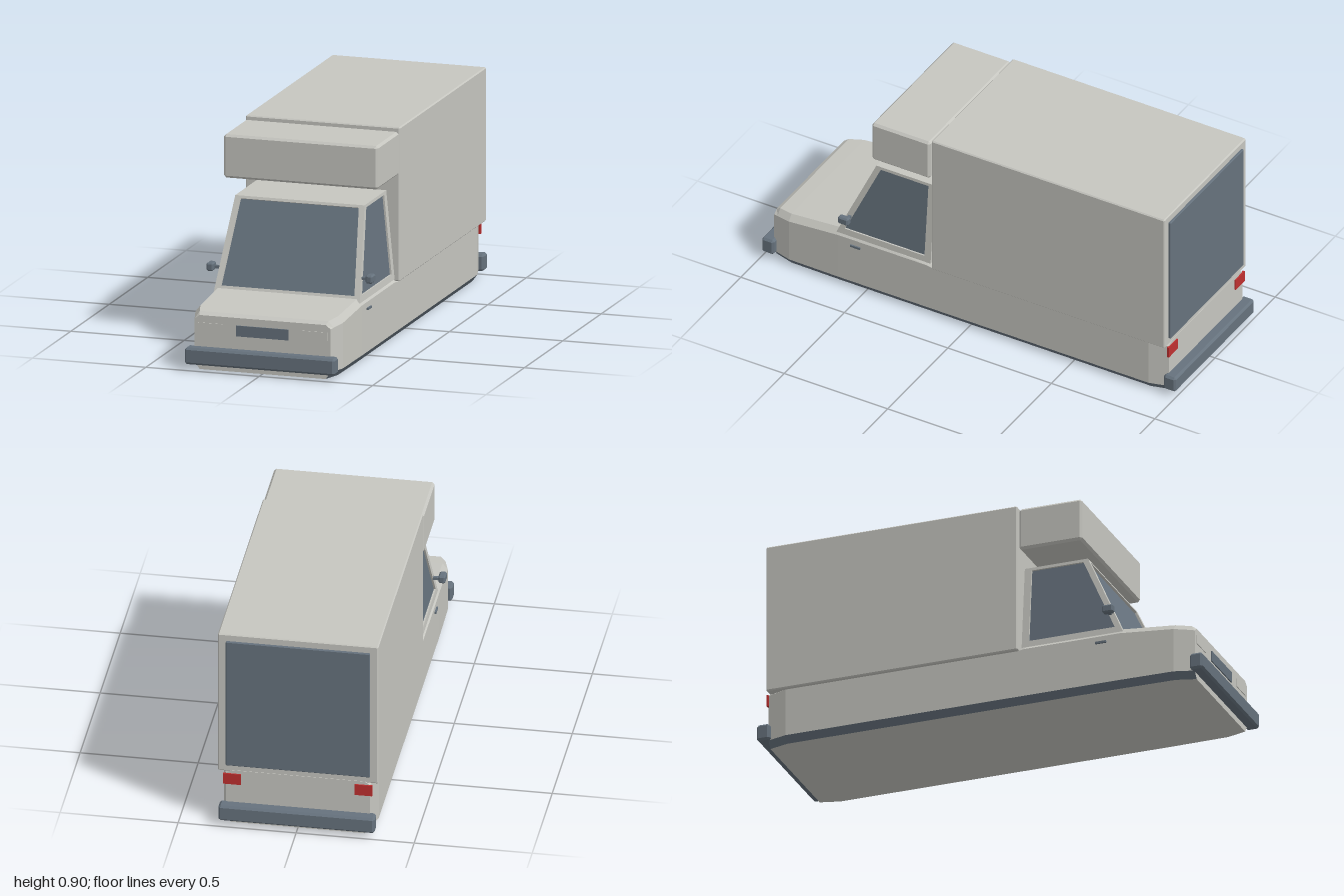
import * as THREE from 'three';
import { ConvexGeometry } from 'three/addons/geometries/ConvexGeometry.js';

const mat = (name, color) => {
  const m = new THREE.MeshStandardMaterial({ color });
  m.name = name;
  return m;
};

// Flat-faced geometry from a list of quads or polygons, each counter-clockwise from outside
function facesGeometry(faces) {
  const pos = [];
  for (const f of faces)
    for (let i = 1; i < f.length - 1; i++) pos.push(...f[0], ...f[i], ...f[i + 1]);
  const g = new THREE.BufferGeometry();
  g.setAttribute('position', new THREE.Float32BufferAttribute(pos, 3));
  g.computeVertexNormals();
  return g;
}

// Box between two corners with chamfered edges
function chamferBox([x0, y0, z0], [x1, y1, z1], c) {
  const pts = [];
  for (const sx of [0, 1]) for (const sy of [0, 1]) for (const sz of [0, 1]) {
    const p = [sx ? x1 : x0, sy ? y1 : y0, sz ? z1 : z0];
    const q = [sx ? x1 - c : x0 + c, sy ? y1 - c : y0 + c, sz ? z1 - c : z0 + c];
    pts.push(new THREE.Vector3(p[0], q[1], q[2]), new THREE.Vector3(q[0], p[1], q[2]),
      new THREE.Vector3(q[0], q[1], p[2]));
  }
  return new ConvexGeometry(pts);
}

export function createModel() {
  const group = new THREE.Group();
  group.name = 'boxTruck';
  const paint = mat('lightGreyPaint', 0xc6c6c0);
  const slate = mat('slate', 0x66727d);
  const red = mat('redLight', 0xbe3030);

  const add = (name, geo, material) => {
    const m = new THREE.Mesh(geo, material);
    m.name = name;
    group.add(m);
  };
  const box = (name, a, b, material, c) => add(name, chamferBox(a, b, c), material);
  const plate = (name, [x, y, z], [w, h, d], material) =>
    add(name, new THREE.BoxGeometry(w, h, d).translate(x, y, z), material);

  // Lower body: [z, half width, shoulder height, top height], back to front
  const sections = [
    [-0.955, 0.305, 0.235, 0.25], [-0.87, 0.328, 0.24, 0.25], [0.17, 0.328, 0.24, 0.25],
    [0.2, 0.328, 0.245, 0.262], [0.63, 0.328, 0.245, 0.272], [0.87, 0.325, 0.225, 0.252],
    [0.935, 0.306, 0.218, 0.245], [0.955, 0.3, 0.215, 0.232],
  ].map(([z, w, s, t]) => {
    const half = [[w - 0.022, 0], [w, 0.03], [w, s], [w - 0.022, t]];
    const other = half.map(([x, y]) => [-x, y]).reverse();
    return [...half, ...other].map(([x, y]) => [x, y, z]);
  });
  const shell = [], skirt = [];
  for (let k = 0; k < sections.length - 1; k++) {
    const A = sections[k], B = sections[k + 1];
    for (let i = 0; i < 8; i++) {
      const j = (i + 1) % 8;
      (i === 0 || i === 6 ? skirt : shell).push([A[i], A[j], B[j], B[i]]);
    }
  }
  shell.push(sections[sections.length - 1], [...sections[0]].reverse());
  add('lowerBody', facesGeometry(shell), paint);
  add('sillSkirt', facesGeometry(skirt), slate);

  // Cab: tapered frame with recessed windows
  const y0 = 0.255, y1 = 0.635, zBack = 0.187;
  const sideX = y => 0.322 - 0.037 * (y - y0) / (y1 - y0);
  const frontZ = y => 0.642 - 0.172 * (y - y0) / (y1 - y0);
  const frame = [], glass = [];
  function windowFace(outer, inner, depth) {
    const [a, b, c] = inner.map(p => new THREE.Vector3(...p));
    const n = b.clone().sub(a).cross(c.sub(a)).normalize().multiplyScalar(-depth);
    const pane = inner.map(p => [p[0] + n.x, p[1] + n.y, p[2] + n.z]);
    for (let i = 0; i < 4; i++) {
      const j = (i + 1) % 4;
      frame.push([outer[i], outer[j], inner[j], inner[i]]);
      frame.push([inner[i], inner[j], pane[j], pane[i]]);
    }
    glass.push(pane);
  }
  const frontPt = (s, y, inset) => [s * (sideX(y) - inset), y, frontZ(y)];
  const frontQuad = (a, b, inset) =>
    [frontPt(-1, a, inset), frontPt(1, a, inset), frontPt(1, b, inset), frontPt(-1, b, inset)];
  windowFace(frontQuad(y0, y1, 0), frontQuad(0.283, 0.624, 0.025), 0.01);

  const sideQuad = (s, a, b, zr, inset) => {
    const q = [[a, frontZ(a) - inset], [a, zr], [b, zr], [b, frontZ(b) - inset]]
      .map(([y, z]) => [s * sideX(y), y, z]);
    return s > 0 ? q : q.reverse();
  };
  for (const s of [1, -1])
    windowFace(sideQuad(s, y0, y1, zBack, 0), sideQuad(s, 0.283, 0.622, 0.218, 0.026), 0.008);

  const xb = sideX(y0), xt = sideX(y1), zt = frontZ(y1);
  frame.push([[-xt, y1, zt], [xt, y1, zt], [xt, y1, zBack], [-xt, y1, zBack]]);
  frame.push([[xb, y0, zBack], [-xb, y0, zBack], [-xt, y1, zBack], [xt, y1, zBack]]);
  add('cabFrame', facesGeometry(frame), paint);
  add('cabWindows', facesGeometry(glass), slate);

  // Cargo box, rear door and roof pod
  box('cargoBox', [-0.34, 0.243, -0.953], [0.34, 0.905, 0.173], paint, 0.005);
  box('rearDoor', [-0.305, 0.275, -0.963], [0.305, 0.873, -0.95], slate, 0.003);
  box('roofPod', [-0.34, 0.703, 0.181], [0.34, 0.89, 0.463], paint, 0.01);

  // Bumpers
  box('frontBumper', [-0.331, 0.026, 0.942], [0.331, 0.098, 1], slate, 0.009);
  box('rearBumper', [-0.331, 0.026, -1], [0.331, 0.098, -0.942], slate, 0.009);

  // Grille, lamps, mirrors and door handles
  plate('grille', [0, 0.177, 0.956], [0.23, 0.046, 0.008], slate);
  for (const s of [1, -1]) {
    plate('headlight', [s * 0.231, 0.182, 0.955], [0.108, 0.037, 0.006], paint);
    plate('tailLight', [s * 0.278, 0.21, -0.956], [0.075, 0.05, 0.009], red);
    plate('doorHandle', [s * 0.331, 0.216, 0.545], [0.009, 0.009, 0.048], slate);
    const cx = s * 0.351;
    box('mirror', [cx - 0.015, 0.335, 0.563], [cx + 0.015, 0.37, 0.612], slate, 0.006);
    plate('mirrorArm', [s * 0.326, 0.35, 0.582], [0.03, 0.012, 0.014], slate);
  }
  return group;
}
